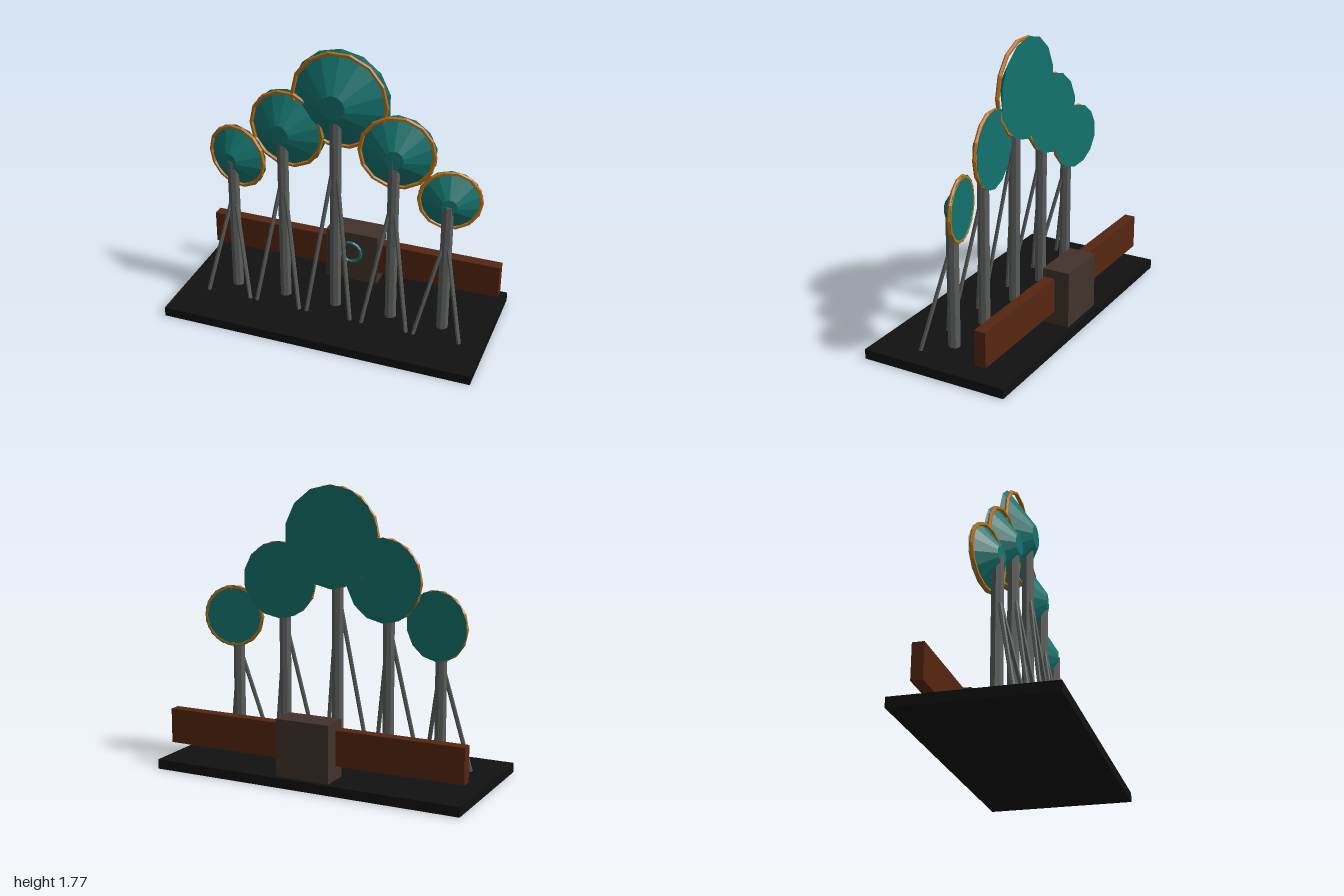
import * as THREE from 'three';

const mat = (name, color) => {
  const m = new THREE.MeshStandardMaterial({ color, flatShading: true });
  m.name = name;
  return m;
};

export function createModel() {
  const black = mat('baseBlack', 0x111111);
  const teal = mat('dishTeal', 0x13736e);
  const orange = mat('rimOrange', 0xb87018);
  const grey = mat('mastGrey', 0x5a5e5b);
  const rust = mat('wallRust', 0x562611);
  const brown = mat('hutBrown', 0x42332a);

  const model = new THREE.Group();
  model.name = 'dishArray';

  const add = (parent, name, geometry, material, x, y, z) => {
    const mesh = new THREE.Mesh(geometry, material);
    mesh.name = name;
    mesh.position.set(x, y, z);
    parent.add(mesh);
    return mesh;
  };

  // A round bar between two points
  const bar = (parent, name, a, b, radius, sides) => {
    const dir = b.clone().sub(a);
    const mid = a.clone().add(b).multiplyScalar(0.5);
    const mesh = add(parent, name, new THREE.CylinderGeometry(radius, radius, dir.length(), sides), grey, mid.x, mid.y, mid.z);
    mesh.quaternion.setFromUnitVectors(new THREE.Vector3(0, 1, 0), dir.normalize());
  };

  // Ground slab, rear wall, hut and its ring
  const baseTop = 0.06;
  add(model, 'base', new THREE.BoxGeometry(2, baseTop, 0.928), black, 0, baseTop / 2, 0);
  add(model, 'rearWall', new THREE.BoxGeometry(1.955, 0.217, 0.07), rust, 0, 0.252, -0.305);
  add(model, 'hut', new THREE.BoxGeometry(0.35, 0.352, 0.174), brown, 0, 0.236, -0.347);
  add(model, 'hutRing', new THREE.TorusGeometry(0.07, 0.011, 6, 14), teal, 0, 0.283, -0.238);

  // Dishes on braced masts: centre x, centre height, radius
  const mastZ = 0.037;
  const stations = [
    [-0.68, 0.97, 0.21],
    [-0.342, 1.215, 0.255],
    [0, 1.457, 0.313],
    [0.367, 1.177, 0.24],
    [0.705, 0.925, 0.195],
  ];
  for (const [x, y, r] of stations) {
    const station = new THREE.Group();
    station.name = 'dishStation';
    station.position.x = x;
    model.add(station);

    // Mast with two splayed front braces
    bar(station, 'mast', new THREE.Vector3(0, baseTop, mastZ), new THREE.Vector3(0, y, mastZ), 0.037, 8);
    for (const side of [-1, 1]) {
      bar(station, 'brace', new THREE.Vector3(side * 0.146, baseTop, 0.176),
        new THREE.Vector3(0, y * 0.78, mastZ), 0.013, 6);
    }

    // Dish fanned outward, with a rim ring in front of its edge
    const dish = new THREE.Group();
    dish.name = 'dish';
    dish.position.y = y;
    dish.rotation.y = x * 0.29;
    station.add(dish);
    const cone = add(dish, 'dishCone', new THREE.CylinderGeometry(r * 0.245, r, r * 0.48, 14), teal, 0, 0, 0.015);
    cone.rotation.x = Math.PI / 2;
    add(dish, 'dishRim', new THREE.TorusGeometry(r * 0.95, 0.013, 6, 14), orange, 0, 0, -0.022);
  }
  return model;
}
